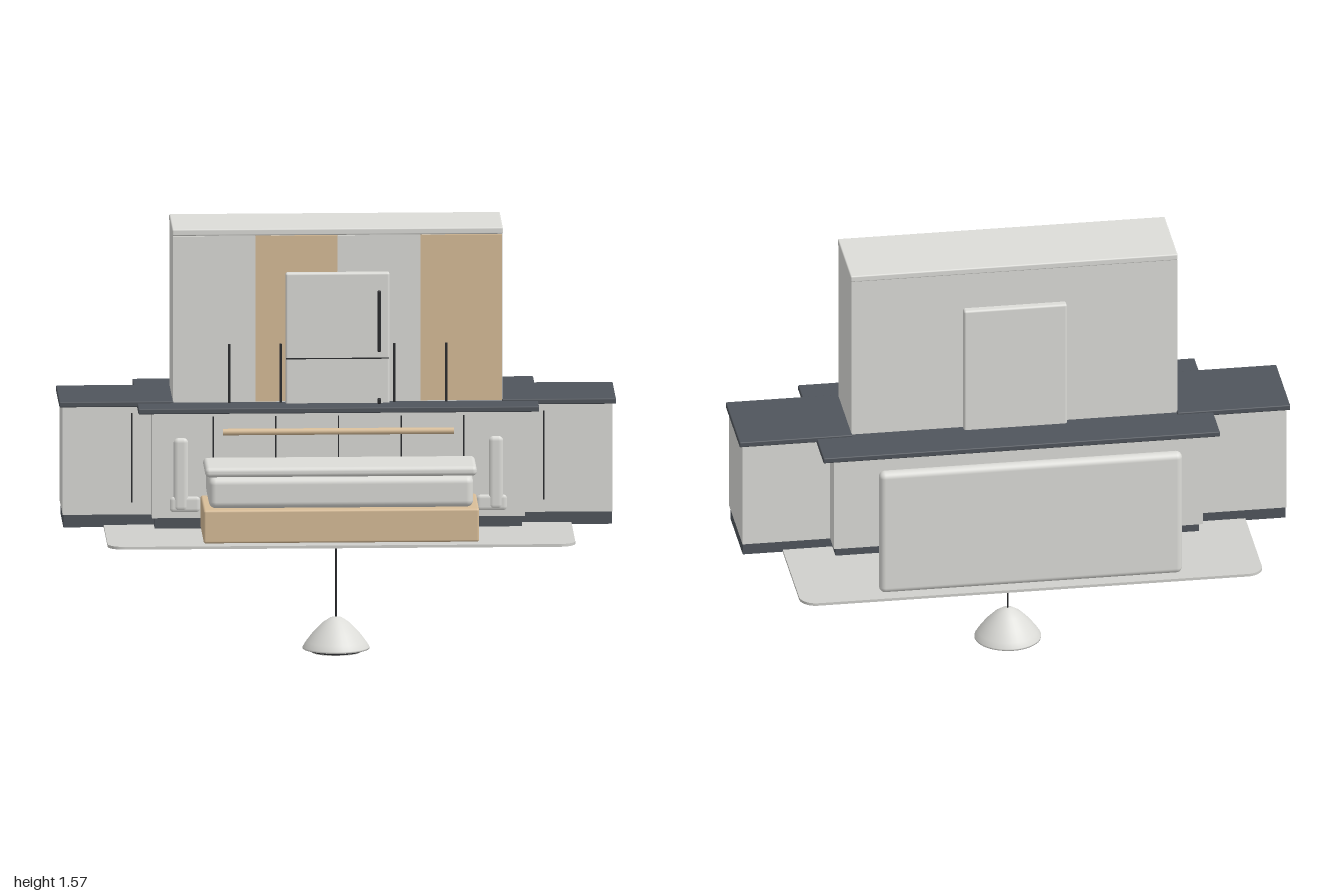
import * as THREE from 'three';
import { RoundedBoxGeometry } from 'three/addons/geometries/RoundedBoxGeometry.js';

const mat = (name, color) => Object.assign(new THREE.MeshStandardMaterial({ color }), { name });

export function createModel() {
  const group = new THREE.Group();
  const white = mat('warm white', 0xdcdcd8);
  const rugGrey = mat('rug grey', 0xd0d0cc);
  const wood = mat('light wood', 0xd8bd98);
  const slate = mat('slate', 0x50555c);
  const black = mat('black', 0x2a2b2e);

  const add = (name, geometry, material, x = 0, y = 0, z = 0) => {
    const mesh = new THREE.Mesh(geometry, material);
    mesh.name = name;
    mesh.position.set(x, y, z);
    group.add(mesh);
    return mesh;
  };
  // Box from its limits, with rounded edges when r > 0
  const box = (name, material, [x0, x1], [y0, y1], [z0, z1], r = 0) => {
    const size = [x1 - x0, y1 - y0, z1 - z0];
    const geometry = r ? new RoundedBoxGeometry(...size, 4, r) : new THREE.BoxGeometry(...size);
    return add(name, geometry, material, (x0 + x1) / 2, (y0 + y1) / 2, (z0 + z1) / 2);
  };

  // Rug with rounded corners
  const w = 0.84, d = 0.592, c = 0.06;
  const outline = new THREE.Shape();
  outline.absarc(w - c, d - c, c, 0, Math.PI / 2);
  outline.absarc(-w + c, d - c, c, Math.PI / 2, Math.PI);
  outline.absarc(-w + c, -d + c, c, Math.PI, Math.PI * 1.5);
  outline.absarc(w - c, -d + c, c, Math.PI * 1.5, Math.PI * 2);
  const rug = new THREE.ExtrudeGeometry(outline, { depth: 0.01, bevelEnabled: false, curveSegments: 8 });
  add('rug', rug.rotateX(-Math.PI / 2), rugGrey, 0, 0.486, -0.004);

  // Bed
  box('bedBase', wood, [-0.495, 0.495], [0.496, 0.617], [-0.53, 0.535], 0.008);
  box('mattress', white, [-0.475, 0.475], [0.617, 0.73], [-0.49, 0.512], 0.025);
  box('sheet', white, [-0.47, 0.47], [0.725, 0.753], [-0.1, 0.3], 0.012);
  box('foldedBlanket', white, [-0.488, 0.488], [0.73, 0.765], [0.278, 0.503], 0.015);
  box('headboard', white, [-0.55, 0.55], [0.496, 0.976], [-0.56, -0.512], 0.022);
  for (const s of [-1, 1]) {
    const pillow = add('pillow', new RoundedBoxGeometry(0.32, 0.064, 0.2, 5, 0.028), white, s * 0.23, 0.776, -0.377);
    pillow.rotation.x = -0.23;
  }

  // Centre cabinets with plinth and worktop
  box('centrePlinth', slate, [-0.66, 0.66], [0.483, 0.535], [-0.225, 0.228]);
  box('centreCabinet', white, [-0.67, 0.67], [0.535, 0.925], [-0.25, 0.235]);
  box('centreWorktop', slate, [-0.72, 0.72], [0.921, 0.941], [-0.332, 0.273], 0.004);
  for (const x of [-0.45, -0.225, 0, 0.225, 0.45])
    box('cabinetSeam', black, [x - 0.0025, x + 0.0025], [0.58, 0.905], [0.233, 0.238]);

  // Rail held in front of the centre cabinets
  add('rail', new THREE.CylinderGeometry(0.012, 0.012, 0.83, 16).rotateZ(Math.PI / 2), wood, 0, 0.85, 0.246);

  for (const s of [-1, 1]) {
    const span = (a, b) => (s > 0 ? [a, b] : [-b, -a]);
    // Side cabinets
    box('sidePlinth', slate, span(0.66, 0.985), [0.488, 0.535], [-0.148, 0.148]);
    box('sideCabinet', white, span(0.66, 0.988), [0.535, 0.928], [-0.162, 0.157]);
    box('sideWorktop', slate, span(0.59, 1), [0.928, 0.948], [-0.172, 0.162], 0.004);
    box('sideSeam', black, span(0.737, 0.742), [0.58, 0.905], [0.155, 0.161]);
    // Padded chair parts showing in front of the cabinet
    box('chairBack', white, span(0.535, 0.597), [0.555, 0.832], [0.16, 0.243], 0.022);
    box('chairSeat', white, span(0.49, 0.612), [0.55, 0.62], [0.16, 0.24], 0.02);
  }

  // Tall cupboard with four doors
  box('tallCupboard', white, [-0.592, 0.592], [0.94, 1.552], [-0.153, 0.15]);
  box('cupboardTop', white, [-0.594, 0.594], [1.55, 1.574], [-0.154, 0.157], 0.005);
  for (let i = 0; i < 4; i++) {
    const x = -0.592 + i * 0.296;
    box('cupboardDoor', i % 2 ? wood : white, [x + 0.001, x + 0.295], [0.945, 1.549], [0.15, 0.158]);
  }
  for (const x of [-0.39, -0.205, 0.203, 0.39])
    box('doorHandle', black, [x - 0.004, x + 0.004], [0.94, 1.155], [0.157, 0.166]);

  // Refrigerator
  box('refrigerator', white, [-0.188, 0.186], [0.93, 1.416], [-0.18, 0.18], 0.008);
  box('refrigeratorSeam', black, [-0.186, 0.184], [1.102, 1.106], [0.177, 0.182]);
  box('refrigeratorHandle', black, [0.142, 0.154], [1.13, 1.352], [0.184, 0.202], 0.004);
  box('lowerHandle', black, [0.142, 0.154], [0.94, 0.96], [0.184, 0.202], 0.004);
  box('handleMount', black, [0.145, 0.151], [1.15, 1.33], [0.178, 0.188]);

  // Pendant lamp with small fittings under the rug
  const profile = [[0, 0.012], [0.1, 0.012], [0.12, 0.014], [0.12, 0.02], [0.108, 0.039], [0.083, 0.072],
    [0.05, 0.106], [0.022, 0.125], [0, 0.13]].map(([x, y]) => new THREE.Vector2(x, y));
  add('lampShade', new THREE.LatheGeometry(profile, 32), white);
  add('lampDiffuser', new THREE.CylinderGeometry(0.09, 0.09, 0.012, 32), white, 0, 0.007, 0);
  add('lampRim', new THREE.CylinderGeometry(0.092, 0.092, 0.004, 32), black, 0, 0.006, 0);
  add('lampCord', new THREE.CylinderGeometry(0.003, 0.003, 0.36, 8), black, 0, 0.307, 0);
  add('ceilingFitting', new THREE.CapsuleGeometry(0.017, 0.03, 6, 16), white, 0, 0.469, 0.025);
  add('woodenKnob', new THREE.CapsuleGeometry(0.009, 0.03, 6, 12), wood, 0, 0.465, -0.01);

  return group;
}
